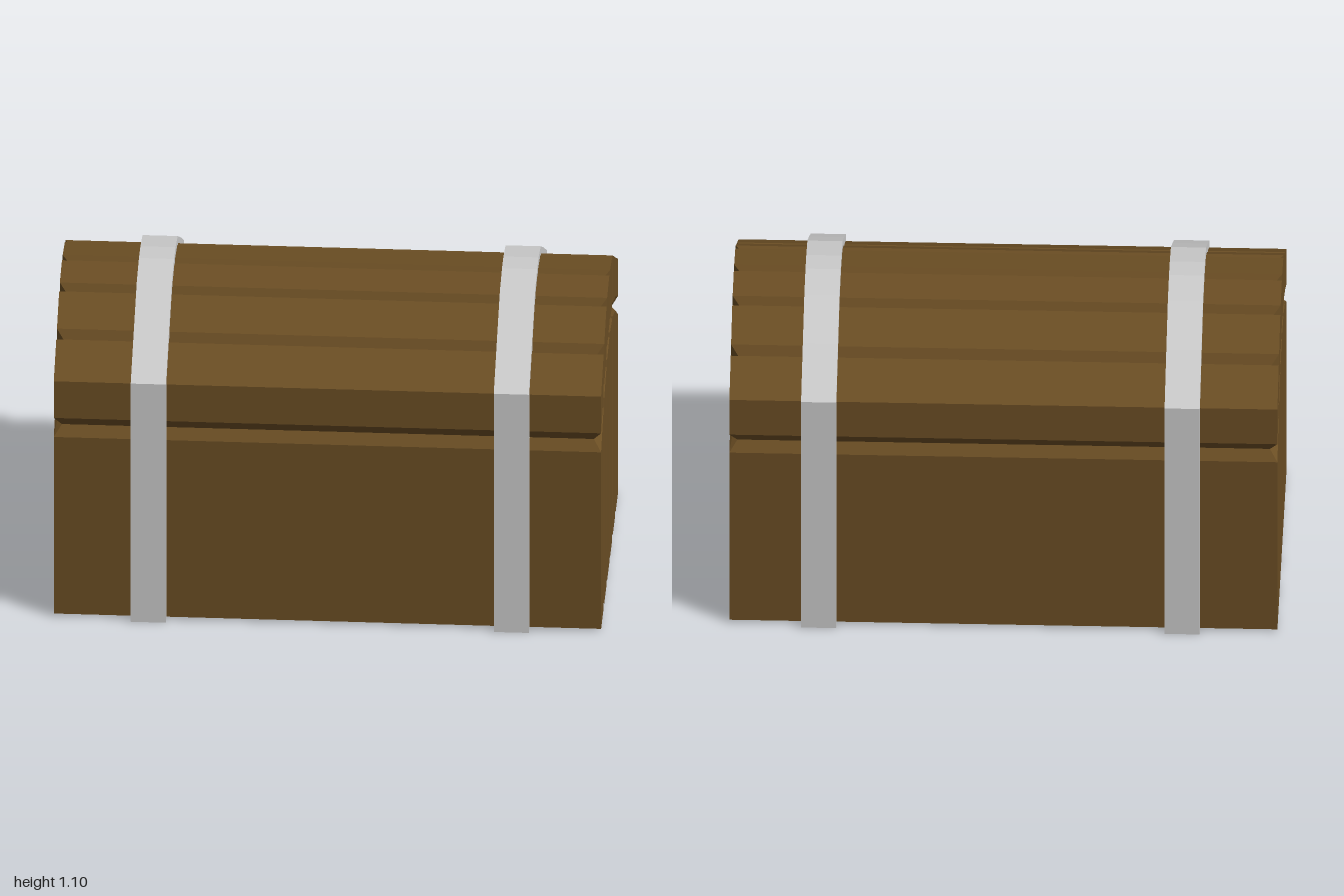
import * as THREE from 'three';

const HALF_LENGTH = 0.888, HALF_DEPTH = 0.47, GROOVE = 0.025, BASE = 0.01;

const wood = new THREE.MeshStandardMaterial({ color: 0x6b4e24, flatShading: true });
const iron = new THREE.MeshStandardMaterial({ color: 0xcccccc, flatShading: true });

// Height of an arch at depth z, interpolated from symmetric [z, y] points
function archHeight(points, z) {
  const d = Math.abs(z);
  for (let i = 1; i < points.length; i++) {
    const [z0, y0] = points[i - 1], [z1, y1] = points[i];
    if (d <= z1 + 1e-6) return y0 + (y1 - y0) * (d - z0) / (z1 - z0);
  }
  return points[points.length - 1][1];
}

const lidArch = [[0, 1.068], [0.018, 1.067], [0.139, 1.05], [0.175, 1.037], [0.295, 0.965], [0.331, 0.945], [0.47, 0.865]];
const seamTop = [[0, 0.89], [0.157, 0.87], [0.313, 0.81], [0.47, 0.73]];
const seamBottom = [[0, 0.84], [0.157, 0.82], [0.313, 0.76], [0.47, 0.66]];

// Outline of the chest at one depth; grooves between planks shrink the outline
function section(z, inset, seamZ = z) {
  const x = HALF_LENGTH - inset;
  const lo = archHeight(seamBottom, z), up = archHeight(seamTop, z);
  const right = [
    [x, BASE + inset, z],
    [x, lo, z],
    [HALF_LENGTH - GROOVE - inset * 0.4, (lo + up) / 2, seamZ],
    [x, up, z],
    [x, archHeight(lidArch, z) - inset, z],
  ];
  const left = right.map(([px, py, pz]) => [-px, py, pz]).reverse();
  return [left.pop(), ...right, ...left];
}

// Plank body and arched lid, lofted through the sections from back to front
function chestGeometry() {
  const sections = [section(-HALF_DEPTH, 0, -HALF_DEPTH + GROOVE)];
  for (let i = -2; i <= 2; i++) {
    const z = i * HALF_DEPTH / 3;
    sections.push(section(z - 0.018, 0), section(z, GROOVE), section(z + 0.018, 0));
  }
  sections.push(section(HALF_DEPTH, 0, HALF_DEPTH - GROOVE));

  const positions = [];
  const quad = (a, b, c, d) => positions.push(...a, ...b, ...c, ...a, ...c, ...d);
  const count = sections[0].length;

  for (let i = 0; i < sections.length - 1; i++) {
    for (let j = 0; j < count; j++) {
      const k = (j + 1) % count;
      quad(sections[i][j], sections[i][k], sections[i + 1][k], sections[i + 1][j]);
    }
  }
  // Front and back faces with the lid seam running across
  const back = sections[0], front = sections[sections.length - 1];
  for (let r = 0; r < 4; r++) {
    const l0 = (count - r) % count, l1 = count - r - 1;
    quad(front[l0], front[r + 1], front[r + 2], front[l1]);
    quad(back[r + 1], back[l0], back[l1], back[r + 2]);
  }
  const geometry = new THREE.BufferGeometry();
  geometry.setAttribute('position', new THREE.Float32BufferAttribute(positions, 3));
  geometry.computeVertexNormals();
  return geometry;
}

// Closed metal strap following the chest's profile
function strapGeometry(width) {
  const half = [[0.493, 0], [0.493, 0.877], [0.313, 0.985], [0.157, 1.073], [0.04, 1.095]];
  const outline = (s, lift) => [
    ...half.map(([z, y]) => [z * s, y === 0 ? lift : y - lift]),
    ...half.map(([z, y]) => [-z * s, y === 0 ? lift : y - lift]).reverse(),
  ].map(([z, y]) => new THREE.Vector2(z, y));
  const shape = new THREE.Shape(outline(1, 0));
  shape.holes.push(new THREE.Path(outline(0.87, 0.065)));
  const geometry = new THREE.ExtrudeGeometry(shape, { depth: width, bevelEnabled: false });
  geometry.translate(0, 0, -width / 2);
  geometry.rotateY(Math.PI / 2);
  return geometry;
}

export function createModel() {
  const group = new THREE.Group();
  group.name = 'chest';

  const body = new THREE.Mesh(chestGeometry(), wood);
  body.name = 'plankBodyAndLid';
  group.add(body);

  const strap = strapGeometry(0.114);
  for (const [name, x] of [['rightStrap', -0.58], ['leftStrap', 0.598]]) {
    const mesh = new THREE.Mesh(strap, iron);
    mesh.name = name;
    mesh.position.x = x;
    group.add(mesh);
  }

  // The chest stands turned on its base
  group.rotation.y = 0.591;
  const model = new THREE.Group();
  model.name = 'treasureChest';
  model.add(group);
  return model;
}
